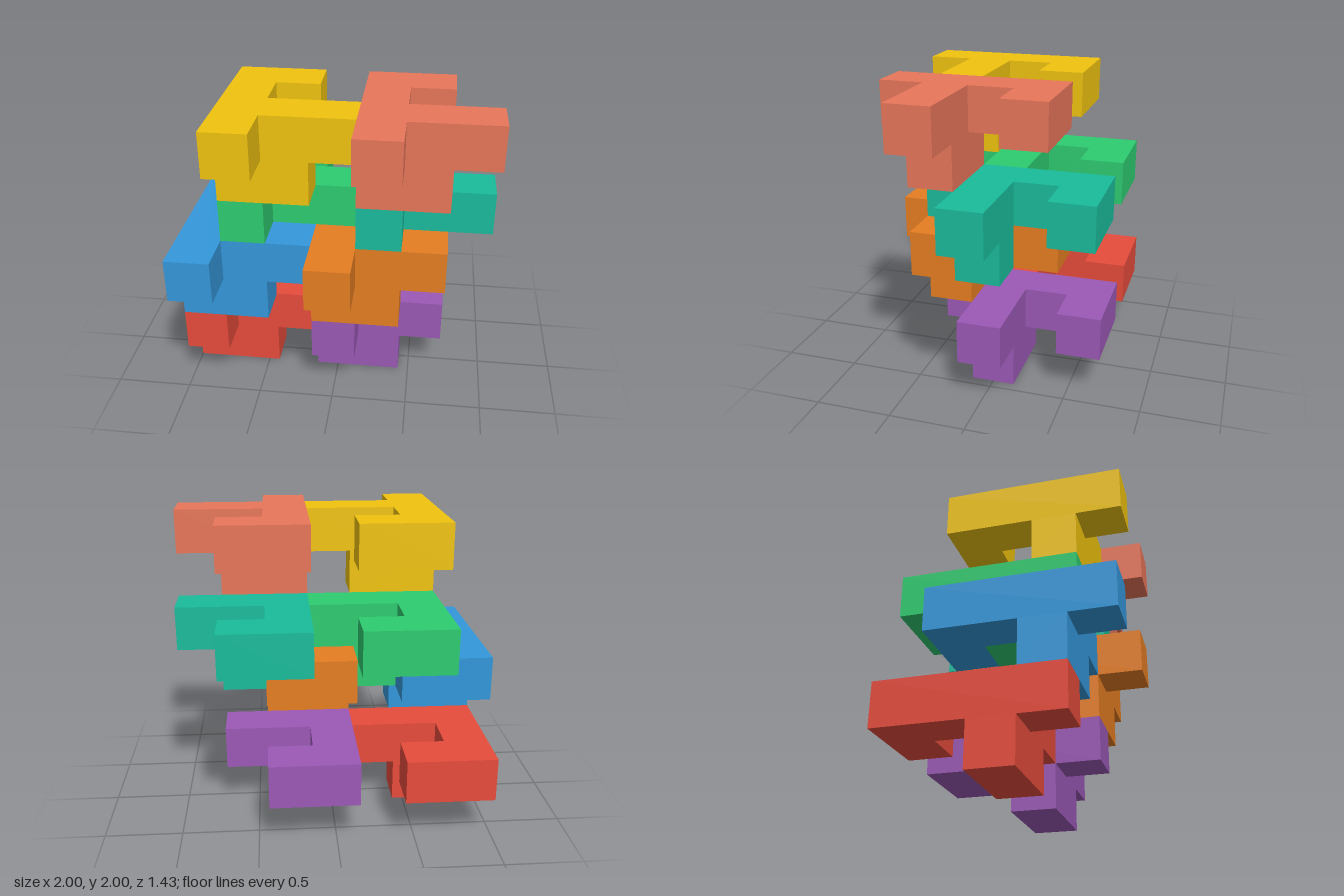
import * as THREE from 'three';

const S = 2 / 7; // edge of one cube cell

// Branched flat slab, one cell thick, lying in the xz plane (corner at the origin)
function slabGeometry() {
  const outline = [[0, 0], [2, 0], [2, 1], [1, 1], [1, 2], [3, 2], [3, 3], [1, 3], [1, 4], [0, 4]];
  const shape = new THREE.Shape(outline.map(([x, z]) => new THREE.Vector2(x * S, -z * S)));
  const geometry = new THREE.ExtrudeGeometry(shape, { depth: S, bevelEnabled: false });
  return geometry.rotateX(-Math.PI / 2);
}

// Two-cell foot below the long branch
function footGeometry() {
  return new THREE.BoxGeometry(2 * S, S, S).translate(S, -S / 2, 2.5 * S);
}

export function createModel() {
  const model = new THREE.Group();
  model.name = 'stackedPuzzleBlocks';
  const slab = slabGeometry();
  const foot = footGeometry();

  // name, colour, cell position of the slab corner (x, y, z)
  const pieces = [
    ['redPiece', 0xe74c3c, 0, 1, 0],
    ['purplePiece', 0x9b59b6, 3, 1, 0],
    ['bluePiece', 0x3498db, 0, 3, 1],
    ['orangePiece', 0xe67e22, 3, 3, 1],
    ['greenPiece', 0x2ecc71, 1, 4, 0],
    ['tealPiece', 0x1abc9c, 4, 4, 0],
    ['yellowPiece', 0xf1c40f, 1, 6, 1],
    ['coralPiece', 0xe8765a, 4, 6, 1],
  ];

  for (const [name, color, x, y, z] of pieces) {
    const material = new THREE.MeshStandardMaterial({ color });
    const piece = new THREE.Group();
    piece.name = name;
    const slabMesh = new THREE.Mesh(slab, material);
    slabMesh.name = 'slab';
    const footMesh = new THREE.Mesh(foot, material);
    footMesh.name = 'foot';
    piece.add(slabMesh, footMesh);
    piece.position.set(-1 + x * S, y * S, (z - 2.5) * S);
    model.add(piece);
  }
  return model;
}
